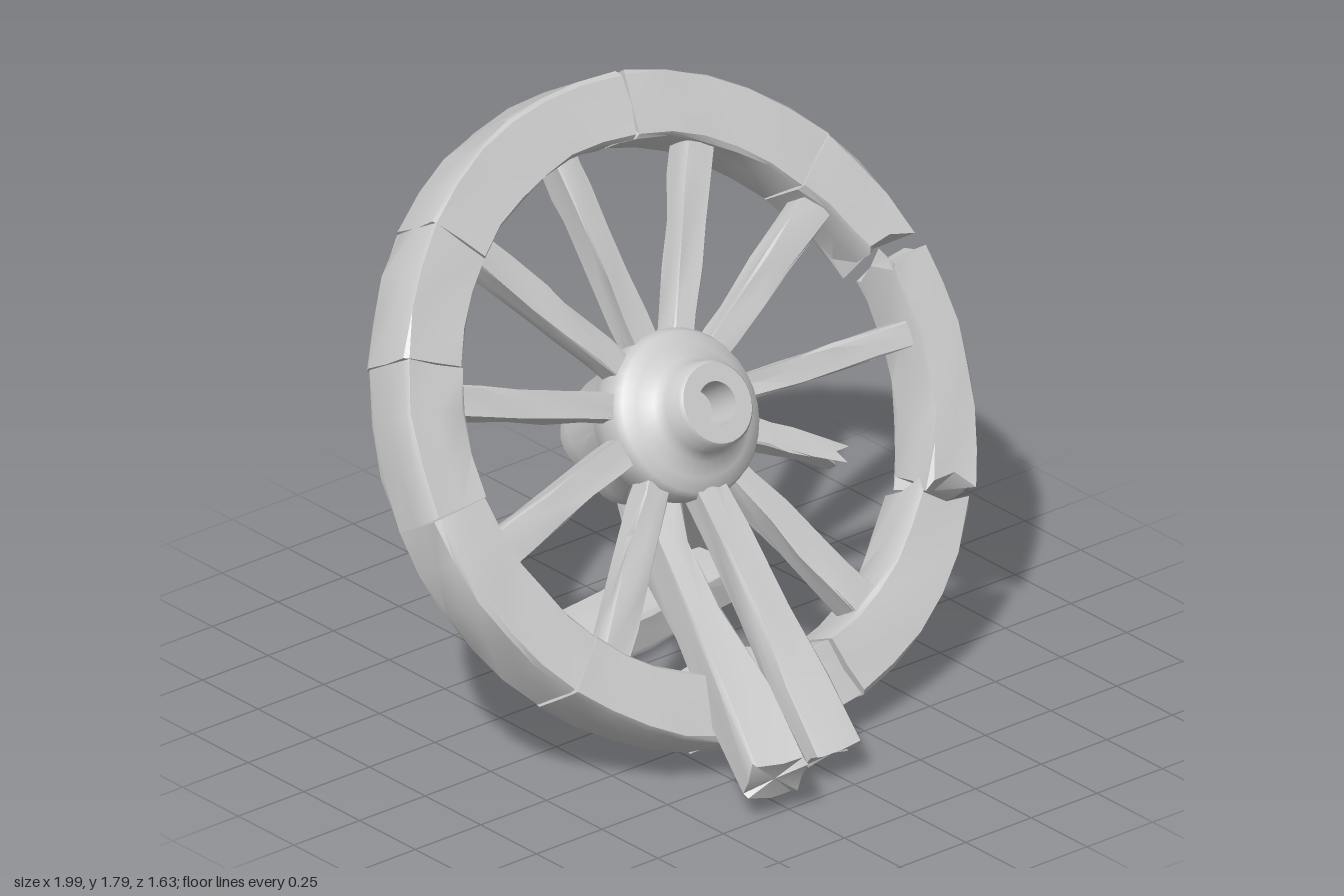
import * as THREE from 'three';
import { toCreasedNormals } from 'three/addons/utils/BufferGeometryUtils.js';

const wood = new THREE.MeshStandardMaterial({ color: 0xcccccc });
wood.name = 'weatheredWood';

// small seeded noise, -1..1
let seed = 7;
const rnd = () => {
  seed = (seed * 16807) % 2147483647;
  return (seed / 2147483647) * 2 - 1;
};

// worn rectangular section: unit corners chamfered, counter-clockwise
const SECTION = [
  [1, -0.84], [1, 0], [1, 0.84], [0.91, 1], [0, 1], [-0.91, 1],
  [-1, 0.84], [-1, 0], [-1, -0.84], [-0.91, -1], [0, -1], [0.91, -1],
];

// skin a row of frames { p, a, b, t, w, d, jag, rough } and cap both ends
function loft(name, frames) {
  const n = SECTION.length;
  const rings = frames.map((f) => SECTION.map(([u, v]) => f.p.clone()
    .addScaledVector(f.a, u * f.w / 2 + rnd() * f.rough)
    .addScaledVector(f.b, v * f.d / 2 + rnd() * f.rough)
    .addScaledVector(f.t, rnd() * f.jag)));
  const pos = [];
  const tri = (...pts) => pts.forEach((q) => pos.push(q.x, q.y, q.z));
  for (let i = 0; i < rings.length - 1; i++) {
    for (let j = 0; j < n; j++) {
      const k = (j + 1) % n;
      tri(rings[i][j], rings[i][k], rings[i + 1][k]);
      tri(rings[i][j], rings[i + 1][k], rings[i + 1][j]);
    }
  }
  const last = rings.length - 1;
  for (let j = 0; j < n; j++) {
    const k = (j + 1) % n;
    tri(frames[0].p, rings[0][k], rings[0][j]);
    tri(frames[last].p, rings[last][j], rings[last][k]);
  }
  const g = new THREE.BufferGeometry();
  g.setAttribute('position', new THREE.Float32BufferAttribute(pos, 3));
  const mesh = new THREE.Mesh(toCreasedNormals(g, 0.6), wood);
  mesh.name = name;
  return mesh;
}

// beam along stations [x, y, z, width, depth]; width runs along the side vector
// and endDir, if given, is the direction the last cut faces
function beam(name, stations, side, { jag = 0.01, rough = 0.006, endDir } = {}) {
  const pts = stations.map((s) => new THREE.Vector3(s[0], s[1], s[2]));
  const last = pts.length - 1;
  return loft(name, pts.map((p, i) => {
    const t = endDir && i === last ? new THREE.Vector3(...endDir)
      : pts[Math.min(i + 1, last)].clone().sub(pts[Math.max(i - 1, 0)]).normalize();
    const a = new THREE.Vector3(...side);
    a.addScaledVector(t, -a.dot(t)).normalize();
    const b = t.clone().cross(a);
    return { p, a, b, t, w: stations[i][3], d: stations[i][4], jag: i === last ? jag : 0, rough };
  }));
}

// curved rim block between two angles in degrees, with radial widths at both ends
// and a forward shift for displaced pieces
function felloe(from, to, jagFrom, jagTo, wFrom = 0.2, wTo = 0.2, forward = 0) {
  const steps = Math.max(3, Math.round((to - from) / 8));
  const frames = [];
  for (let i = 0; i <= steps; i++) {
    const f = i / steps;
    const ang = THREE.MathUtils.degToRad(from + (to - from) * f);
    const a = new THREE.Vector3(Math.cos(ang), Math.sin(ang), 0);
    const w = wFrom + (wTo - wFrom) * f;
    const p = a.clone().multiplyScalar(0.994 - w / 2);
    p.z = forward;
    frames.push({
      p, a,
      b: new THREE.Vector3(0, 0, -1),
      t: new THREE.Vector3(-a.y, a.x, 0),
      w, d: 0.212, rough: 0.005,
      jag: i === 0 ? jagFrom : i === steps ? jagTo : 0,
    });
  }
  return loft('rimSegment', frames);
}

// slightly dished spoke
function spoke(deg, end, wHub, wRim, jag = 0.005) {
  const ang = THREE.MathUtils.degToRad(deg);
  const c = Math.cos(ang), s = Math.sin(ang);
  const st = [];
  for (let i = 0; i <= 5; i++) {
    const f = i / 5, r = 0.16 + (end - 0.16) * f;
    st.push([c * r, s * r, 0.025 * f, wHub + (wRim - wHub) * f, 0.085 + 0.015 * f]);
  }
  return beam('spoke', st, [-s, c, 0], { jag });
}

function hub() {
  const profile = [
    [0, -0.26], [0.08, -0.29], [0.15, -0.33], [0.195, -0.31], [0.215, -0.24], [0.21, -0.13],
    [0.24, -0.08], [0.255, -0.02], [0.255, 0.045], [0.24, 0.07], [0.2, 0.085], [0.155, 0.11],
    [0.135, 0.14], [0.13, 0.2], [0.12, 0.212], [0.065, 0.212], [0.062, 0.09], [0, 0.09],
  ].map(([r, z]) => new THREE.Vector2(r, z));
  const g = new THREE.LatheGeometry(profile, 32).rotateX(Math.PI / 2);
  // lumpy, sagging rear end
  const p = g.attributes.position;
  for (let i = 0; i < p.count; i++) {
    if (p.getZ(i) > -0.15) continue;
    const ang = Math.atan2(p.getY(i), p.getX(i));
    const k = 1 + 0.04 * Math.sin(ang * 3 + 1) + 0.03 * Math.sin(ang * 5);
    const dent = Math.hypot(p.getX(i), p.getY(i)) * 0.12 * Math.sin(ang * 2);
    const sag = 0.12 * (p.getZ(i) + 0.15);
    p.setXYZ(i, p.getX(i) * k, p.getY(i) * k * 0.92 + sag, p.getZ(i) + dent);
  }
  const mesh = new THREE.Mesh(toCreasedNormals(g, 0.7), wood);
  mesh.name = 'hub';
  mesh.position.set(0.015, -0.02, 0);
  return mesh;
}

export function createModel() {
  const model = new THREE.Group();
  model.name = 'brokenWagonWheel';

  // leaning wheel
  const wheel = new THREE.Group();
  wheel.name = 'wheel';
  wheel.position.set(0, 0.892, -0.073);
  wheel.rotation.x = -0.546;
  model.add(wheel);
  wheel.add(hub());

  // rim segments: start, end, break roughness at each end, widths at each end, shift
  [
    [15, 37, 0.04, 0.004, 0.17, 0.2], [37.3, 79.5, 0.004, 0.012], [80.5, 130, 0.012, 0.003],
    [130.3, 155, 0.003, 0.003], [155.3, 183, 0.003, 0.003], [183.3, 222, 0.003, 0.003],
    [222.3, 253, 0.003, 0.003], [253.3, 283, 0.003, 0.008], [284, 325, 0.008, 0.05, 0.2, 0.18],
    [-32, 12, 0.04, 0.03, 0.16, 0.14, 0.015],
  ].forEach((s) => wheel.add(felloe(...s)));

  // spokes: angle, end radius, width at hub, width at rim
  [
    [97, 0.84, 0.09, 0.075], [62, 0.84, 0.07, 0.1], [31, 0.86, 0.07, 0.1],
    [-2, 0.86, 0.07, 0.08], [-31, 0.54, 0.09, 0.06, 0.05], [-62, 0.84, 0.08, 0.11],
    [229, 0.84, 0.08, 0.1], [195, 0.84, 0.08, 0.11], [162, 0.84, 0.07, 0.1],
    [128, 0.84, 0.07, 0.1],
  ].forEach((s) => wheel.add(spoke(...s)));

  // loose spoke tipped forward of the rim
  wheel.add(beam('looseSpoke', [
    [0, -0.16, 0.01, 0.1, 0.09], [0, -0.4, 0.06, 0.11, 0.09], [-0.01, -0.65, 0.115, 0.13, 0.1],
    [-0.015, -0.88, 0.165, 0.16, 0.1], [-0.015, -1.09, 0.21, 0.16, 0.09],
  ], [1, 0, 0], { jag: 0.015 }));

  // long shaft running under the hub to the front
  model.add(beam('shaft', [
    [0.05, 0.63, -0.28, 0.13, 0.15], [-0.02, 0.56, -0.14, 0.12, 0.18], [-0.1, 0.475, 0.02, 0.1, 0.17],
    [-0.16, 0.37, 0.24, 0.11, 0.14], [-0.23, 0.24, 0.5, 0.16, 0.14], [-0.32, 0.12, 0.77, 0.17, 0.14],
  ], [1, 0, 0], { jag: 0.015 }));

  // bent rear prop with a flat foot
  model.add(beam('rearProp', [
    [0.05, 0.7, -0.22, 0.2, 0.2], [0.18, 0.61, -0.31, 0.2, 0.2], [0.34, 0.5, -0.46, 0.2, 0.22],
    [0.47, 0.3, -0.57, 0.2, 0.21], [0.57, 0.14, -0.64, 0.2, 0.2], [0.65, 0.012, -0.69, 0.2, 0.22],
  ], [1, 0, 0], { jag: 0.008, endDir: [0, -1, 0] }));

  // broken timbers on the ground
  model.add(beam('rearPlank', [
    [0.5, 0.065, -0.45, 0.18, 0.11], [0.3, 0.07, -0.43, 0.21, 0.12], [0.1, 0.065, -0.39, 0.2, 0.12],
    [-0.12, 0.07, -0.36, 0.2, 0.12], [-0.31, 0.06, -0.33, 0.16, 0.1],
  ], [0, 0, 1], { jag: 0.015 }));
  model.add(beam('frontBlock', [
    [0.27, 0.065, 0.23, 0.2, 0.1], [0.12, 0.075, 0.21, 0.25, 0.14], [-0.04, 0.075, 0.18, 0.25, 0.14],
    [-0.19, 0.065, 0.15, 0.18, 0.1],
  ], [0, 0, 1], { jag: 0.01 }));

  return model;
}
